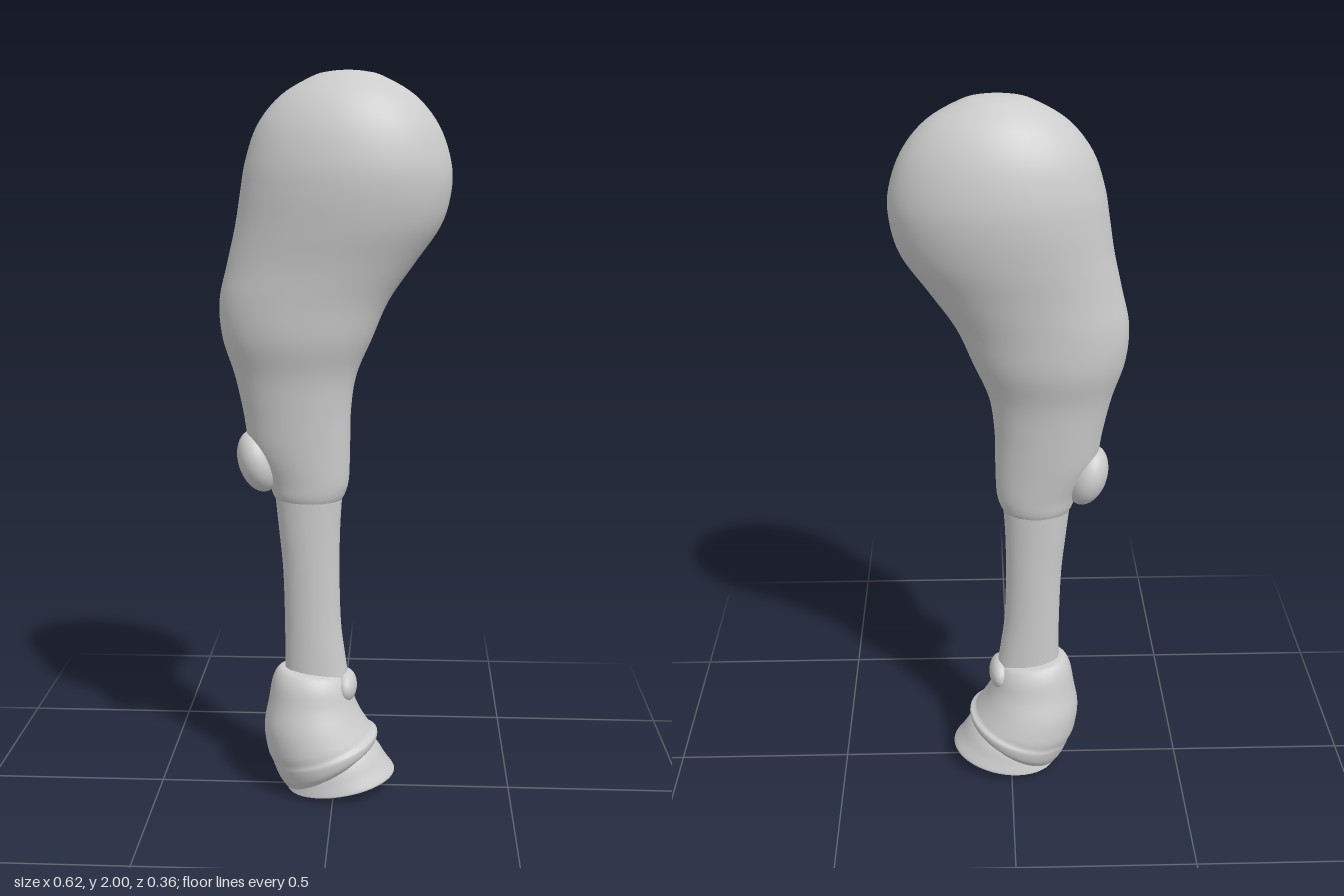
import * as THREE from 'three';

const SEG = 48;

// Loft of elliptical rings, top to bottom. Station: [leftX, leftY, rightX, rightY, half depth]
function loft(stations, steps = 5) {
  const curve = (a) => new THREE.CatmullRomCurve3(
    stations.map((s) => new THREE.Vector3(s[a], s[a + 1], s[4])), false, 'catmullrom', 0.5);
  const left = curve(0), right = curve(2);
  const rows = (stations.length - 1) * steps;
  const pos = [], index = [];
  const ring = (i) => {
    const l = left.getPoint(i / rows), r = right.getPoint(i / rows);
    for (let j = 0; j < SEG; j++) {
      const t = (j / SEG) * Math.PI * 2, k = (1 + Math.cos(t)) / 2;
      pos.push(l.x + (r.x - l.x) * k, l.y + (r.y - l.y) * k, Math.sin(t) * l.z);
    }
    return [(l.x + r.x) / 2, (l.y + r.y) / 2, 0];
  };
  for (let i = 0; i <= rows; i++) ring(i);
  for (let i = 0; i < rows; i++) {
    for (let j = 0; j < SEG; j++) {
      const a = i * SEG + j, b = i * SEG + (j + 1) % SEG;
      index.push(a, b, a + SEG, b, b + SEG, a + SEG);
    }
  }
  // Flat end caps with their own vertices, so the rims stay sharp
  for (const i of [0, rows]) {
    const start = pos.length / 3;
    pos.push(...ring(i));
    const centre = start + SEG;
    for (let j = 0; j < SEG; j++) {
      const a = start + j, b = start + (j + 1) % SEG;
      if (i === 0) index.push(centre, b, a);
      else index.push(centre, a, b);
    }
  }
  const g = new THREE.BufferGeometry();
  g.setAttribute('position', new THREE.Float32BufferAttribute(pos, 3));
  g.setIndex(index);
  g.computeVertexNormals();
  return g;
}

export function createModel() {
  const model = new THREE.Group();
  model.name = 'hoofedLeg';
  const grey = new THREE.MeshStandardMaterial({ color: 0xcccccc });
  grey.name = 'light grey';

  const add = (name, geometry) => {
    const mesh = new THREE.Mesh(geometry, grey);
    mesh.name = name;
    model.add(mesh);
    return mesh;
  };
  const ellipsoid = (name, centre, radii, tilt = 0) => {
    const mesh = add(name, new THREE.SphereGeometry(1, 32, 20));
    mesh.position.set(...centre);
    mesh.scale.set(...radii);
    mesh.rotation.z = tilt;
  };

  // Thigh: rounded dome, then a tapering muscle
  const dome = [0, 10, 20, 40, 60, 80].map((deg) => {
    const a = THREE.MathUtils.degToRad(deg), s = Math.sin(a), y = 1.72 + 0.28 * Math.cos(a);
    return [0.035 - 0.275 * s, y, 0.035 + 0.275 * s, y, 0.182 * s];
  });
  add('upperLeg', loft([
    ...dome,
    [-0.25, 1.69, 0.308, 1.69, 0.181],
    [-0.265, 1.6, 0.282, 1.6, 0.17],
    [-0.288, 1.5, 0.213, 1.5, 0.152],
    [-0.31, 1.4, 0.145, 1.4, 0.141],
    [-0.303, 1.3, 0.102, 1.3, 0.132],
    [-0.272, 1.2, 0.06, 1.2, 0.108],
    [-0.25, 1.1, 0.045, 1.1, 0.096],
    [-0.232, 1.0, 0.043, 1.0, 0.086],
    [-0.185, 0.91, 0.04, 0.91, 0.076],
    [-0.17, 0.865, 0.03, 0.87, 0.071],
    [-0.155, 0.842, 0.018, 0.847, 0.063],
  ]));

  // Knob behind the knee
  ellipsoid('kneeKnob', [-0.21, 0.957, 0], [0.055, 0.088, 0.075], 0.3);

  // Shank
  add('lowerLeg', loft([
    [-0.165, 0.87, 0.022, 0.87, 0.066],
    [-0.155, 0.77, 0.016, 0.77, 0.063],
    [-0.144, 0.65, 0.014, 0.65, 0.06],
    [-0.14, 0.5, 0.018, 0.5, 0.058],
    [-0.14, 0.4, 0.03, 0.4, 0.058],
    [-0.14, 0.3, 0.045, 0.3, 0.058],
  ]));

  // Fetlock cover, tilting forward to a rolled lip
  add('fetlock', loft([
    [-0.13, 0.362, 0.005, 0.348, 0.06],
    [-0.158, 0.358, 0.03, 0.338, 0.08],
    [-0.176, 0.325, 0.046, 0.308, 0.1],
    [-0.187, 0.265, 0.058, 0.265, 0.115],
    [-0.2, 0.19, 0.075, 0.225, 0.137],
    [-0.192, 0.12, 0.098, 0.188, 0.15],
    [-0.178, 0.085, 0.108, 0.176, 0.152],
    [-0.172, 0.068, 0.122, 0.168, 0.157],
    [-0.158, 0.035, 0.12, 0.148, 0.152],
    [-0.14, 0.008, 0.104, 0.134, 0.138],
  ]));
  ellipsoid('fetlockBump', [0.032, 0.305, 0], [0.032, 0.046, 0.064]);

  // Hoof with a flat, slightly raised toe
  add('hoof', loft([
    [-0.11, 0.06, 0.095, 0.16, 0.11],
    [-0.12, 0.035, 0.125, 0.125, 0.125],
    [-0.128, 0.015, 0.148, 0.088, 0.133],
    [-0.133, 0.004, 0.17, 0.058, 0.139],
    [-0.135, 0.0, 0.172, 0.05, 0.139],
  ]));

  return model;
}
